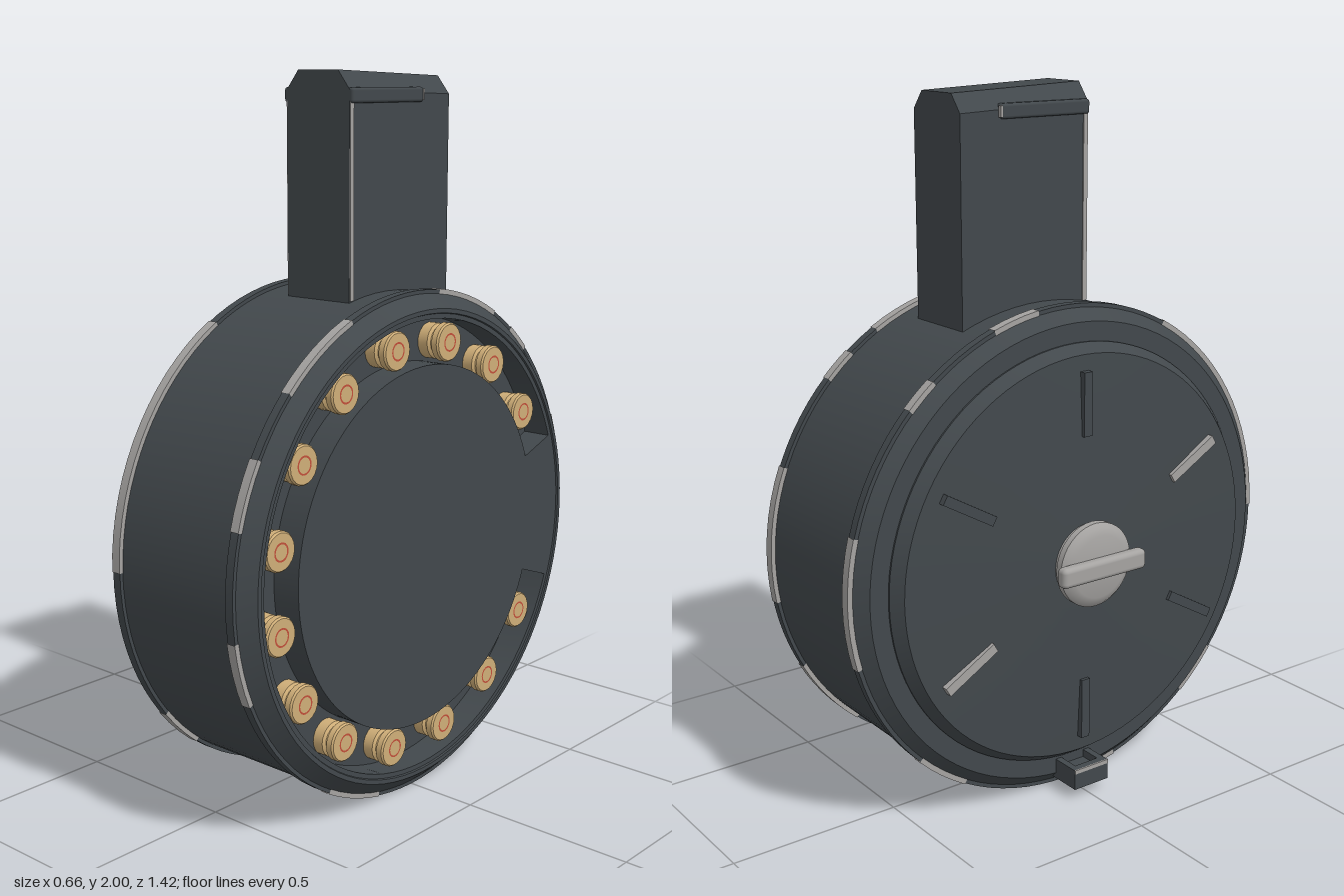
import * as THREE from 'three';
import { toCreasedNormals } from 'three/addons/utils/BufferGeometryUtils.js';
import { RoundedBoxGeometry } from 'three/addons/geometries/RoundedBoxGeometry.js';

const CY = 0.713; // height of the drum axis
const rad = THREE.MathUtils.degToRad;

export function createModel() {
  const group = new THREE.Group();
  const paint = (name, color, side = THREE.FrontSide) => {
    const m = new THREE.MeshStandardMaterial({ color, side });
    m.name = name;
    return m;
  };
  const dark = paint('darkSteel', 0x42484c);
  const grey = paint('wornSteel', 0xa5a3a1, THREE.DoubleSide);
  const brass = paint('brass', 0xcfae78);
  const red = paint('redSealant', 0xc0503a);

  const add = (name, geometry, material, x = 0, y = 0, z = 0, parent = group) => {
    const mesh = new THREE.Mesh(geometry, material);
    mesh.name = name;
    mesh.position.set(x, y, z);
    parent.add(mesh);
    return mesh;
  };
  // Turned part along x; profile is [x, radius], arc is in degrees from the top towards the front
  const turned = (profile, segments = 72, from = 0, to = 360) => {
    const points = profile.map(([x, r]) => new THREE.Vector2(r, x));
    const g = new THREE.LatheGeometry(points, segments, rad(from - 90), rad(to - from));
    g.rotateZ(-Math.PI / 2);
    return toCreasedNormals(g, 0.45);
  };

  // Drum shell with stepped cover on the right and a sunken floor on the left
  add('drumBody', turned([
    [-0.25, 0], [-0.247, 0.15], [-0.225, 0.585], [-0.19, 0.61], [-0.185, 0.61], [-0.185, 0.665],
    [-0.15, 0.7], [0.29, 0.7], [0.33, 0.662], [0.33, 0.65], [0.325, 0.648], [0.325, 0.635],
    [0.24, 0.635], [0.24, 0],
  ], 96), dark, 0, CY);

  // Seam rims with worn patches
  const rims = [
    { x: -0.1385, worn: [[-105, -75], [-46, -38], [-20, -8], [29, 90], [128, 141], [-150, -135], [165, 175]] },
    { x: 0.2775, worn: [[-100, -68], [-46, -38], [-30, -8], [22, 45], [60, 75], [98, 113], [-140, -118], [150, 168]] },
  ];
  for (const { x, worn } of rims) {
    const ring = (r, h) => [[x - h, 0.69], [x - h, r], [x + h, r], [x + h, 0.69]];
    add('seamRim', turned(ring(0.71, 0.013), 96), dark, 0, CY);
    for (const [from, to] of worn) {
      const steps = Math.max(3, Math.round((to - from) / 4));
      add('wornRimPatch', turned(ring(0.7125, 0.014), steps, from, to), grey, 0, CY);
    }
  }

  // Raised face plate: disc joined to a wedge that closes the cartridge channel at the back
  const plate = new THREE.Shape();
  const gap = rad(20);
  plate.absarc(0, 0, 0.51, gap, Math.PI * 2 - gap, false);
  plate.absarc(0, 0, 0.637, -gap, gap, false);
  plate.closePath();
  const plateGeometry = new THREE.ExtrudeGeometry(plate, { depth: 0.087, bevelEnabled: false, curveSegments: 64 });
  plateGeometry.rotateY(Math.PI / 2);
  add('facePlate', toCreasedNormals(plateGeometry, 0.45), dark, 0.238, CY);

  // Cartridge bases round the channel
  const caseGeometry = turned([
    [0.23, 0.05], [0.272, 0.05], [0.278, 0.042], [0.288, 0.042], [0.29, 0.054], [0.307, 0.054], [0.312, 0.05], [0.312, 0],
  ], 20);
  const ringGeometry = new THREE.RingGeometry(0.021, 0.026, 20).rotateY(Math.PI / 2);
  for (let i = 0; i < 14; i++) {
    const a = rad(32.5 + i * 295 / 13);
    const y = CY + 0.57 * Math.sin(a), z = -0.57 * Math.cos(a);
    add('cartridge', caseGeometry, brass, 0, y, z);
    add('primerRing', ringGeometry, red, 0.3135, y, z);
  }

  // Radial ribs on the cover
  for (let i = 0; i < 6; i++) {
    const spoke = new THREE.Group();
    spoke.name = 'coverRib';
    spoke.position.y = CY;
    spoke.rotation.x = i * Math.PI / 3;
    add('rib', new THREE.BoxGeometry(0.03, 0.18, 0.028), i % 3 === 1 ? grey : dark, -0.231, 0.45, 0, spoke);
    group.add(spoke);
  }

  // Winding key: round hub and cross bar
  add('keyHub', turned([
    [-0.305, 0], [-0.305, 0.09], [-0.297, 0.11], [-0.285, 0.122], [-0.265, 0.122], [-0.255, 0.112], [-0.24, 0.112],
  ], 40), grey, 0, CY);
  add('keyBar', new RoundedBoxGeometry(0.038, 0.058, 0.29, 3, 0.014), grey, -0.313, CY);

  // Cover latch: a short hollow tab at the bottom
  for (const s of [-1, 1]) {
    add('latchSide', new THREE.BoxGeometry(0.125, 0.06, 0.02), dark, -0.212, 0.065, s * 0.05);
  }
  add('latchEnd', new THREE.BoxGeometry(0.025, 0.06, 0.12), dark, -0.263, 0.065);
  add('latchWeb', new THREE.BoxGeometry(0.11, 0.025, 0.09), dark, -0.205, 0.06);
  add('latchWear', new THREE.BoxGeometry(0.004, 0.012, 0.12), grey, -0.275, 0.09);

  // Feed tower with chamfered top, sloping down slightly to the back
  const section = new THREE.Shape([
    [-0.035, 1.34], [0.185, 1.34], [0.185, 1.95], [0.145, 2], [0.005, 2], [-0.035, 1.95],
  ].map(([x, y]) => new THREE.Vector2(x, y)));
  const tower = new THREE.ExtrudeGeometry(section, { depth: 0.42, bevelEnabled: false });
  tower.translate(0, 0, -0.265);
  const p = tower.attributes.position;
  for (let i = 0; i < p.count; i++) {
    if (p.getY(i) > 1.9) p.setY(i, p.getY(i) - 0.015 * (0.155 - p.getZ(i)) / 0.42);
  }
  tower.computeVertexNormals();
  add('feedTower', tower, dark);
  for (const s of [-1, 1]) {
    add('feedLip', new RoundedBoxGeometry(0.03, 0.04, 0.295, 2, 0.008), dark, 0.075 + s * 0.107, 1.935, 0.0075);
    add('lipWear', new THREE.BoxGeometry(0.012, 0.03, 0.006), grey, 0.075 + s * 0.115, 1.935, -0.14);
    add('towerEdgeWear', new THREE.BoxGeometry(0.008, 0.53, 0.014), grey, 0.075 + s * 0.109, 1.665, 0.147);
  }
  return group;
}
